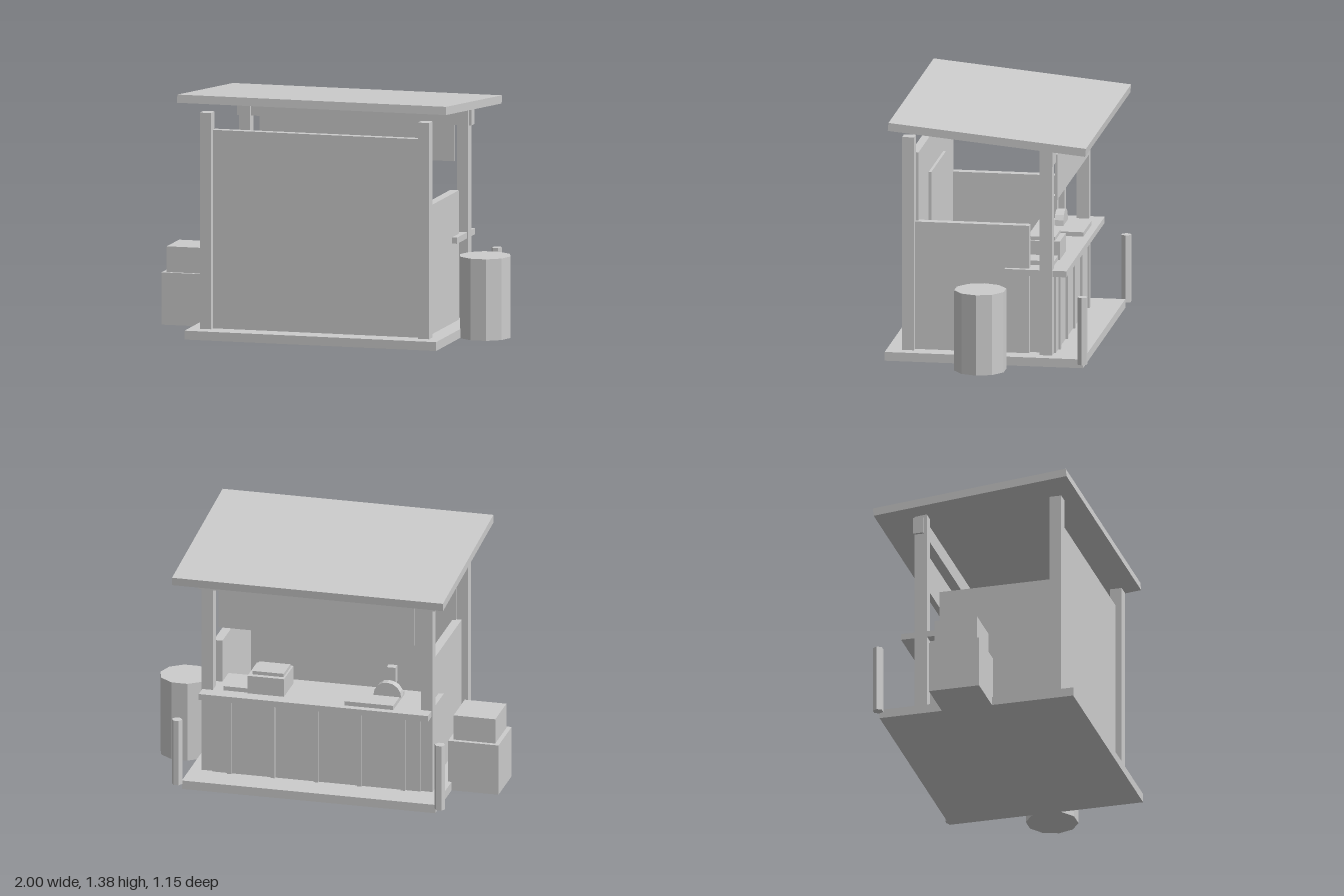
import * as THREE from 'three';

export function createModel() {
  const group = new THREE.Group();
  group.name = 'marketStall';
  const grey = new THREE.MeshStandardMaterial({ color: 0xcccccc });
  grey.name = 'plainGrey';

  const add = (name, geometry, x = 0, y = 0, z = 0) => {
    const mesh = new THREE.Mesh(geometry, grey);
    mesh.name = name;
    mesh.position.set(x, y, z);
    group.add(mesh);
    return mesh;
  };
  // Box given by its limits on each axis
  const box = (name, x0, x1, y0, y1, z0, z1) =>
    add(name, new THREE.BoxGeometry(x1 - x0, y1 - y0, z1 - z0),
      (x0 + x1) / 2, (y0 + y1) / 2, (z0 + z1) / 2);
  // Upright faceted cylinder with a corner pointing along +x
  const prism = (name, radius, sides, y0, y1, x, z) =>
    add(name, new THREE.CylinderGeometry(radius, radius, y1 - y0, sides, 1, false, Math.PI / 2).toNonIndexed(),
      x, (y0 + y1) / 2, z).geometry.computeVertexNormals();

  box('floor', -0.73, 0.73, 0, 0.05, -0.545, 0.575);

  // Sloping roof slab
  const roof = box('roof', -0.78, 0.78, 1.277, 1.323, -0.56, 0.56);
  roof.rotation.x = -0.0945;
  roof.position.set(0, 1.3, -0.01);

  // Walls, posts and bollards
  box('tallWall', -0.6, 0.6, 0.05, 1.17, 0.405, 0.45);
  box('wallBoard', -0.25, 0.25, 0.61, 0.975, 0.39, 0.405);
  for (const s of [-1, 1]) {
    const x = s * 0.6325;
    box('tallPost', x - 0.0325, x + 0.0325, 0.05, 1.27, 0.42, 0.487);
    box('counterPost', x - 0.0325, x + 0.0325, 0.05, 1.25, -0.36, -0.29);
    box('sideWall', s * 0.605 - 0.025, s * 0.605 + 0.025, 0.05, 0.78, -0.225, 0.42);
    prism('bollard', 0.03, 6, 0.03, 0.415, s * 0.757, -0.546);
  }

  // Header beam and hanging sign panel
  box('headerBeam', -0.68, 0.68, 1.135, 1.23, -0.365, -0.305);
  box('signPanel', -0.565, 0.565, 0.92, 1.18, -0.373, -0.36);

  // Counter with battens
  box('counterBody', -0.6, 0.6, 0.05, 0.5, -0.37, -0.14);
  box('counterTop', -0.66, 0.66, 0.5, 0.535, -0.44, -0.09);
  for (let i = -2; i <= 2; i++) {
    const x = i * 0.25;
    box('batten', x - 0.0125, x + 0.0125, 0.05, 0.49, -0.383, -0.37);
  }

  // Goods on the counter
  box('tray', 0.22, 0.54, 0.535, 0.56, -0.35, -0.15);
  box('goodsBox', 0.19, 0.4, 0.535, 0.64, -0.36, -0.15);
  box('goodsLid', 0.2, 0.38, 0.64, 0.66, -0.33, -0.18);
  box('cuttingBoard', -0.45, -0.17, 0.535, 0.56, -0.4, -0.15);
  const arc = new THREE.Shape();
  arc.absarc(0, 0, 0.08, 0, Math.PI, false);
  add('halfDisc', new THREE.ExtrudeGeometry(arc, { depth: 0.05, bevelEnabled: false, curveSegments: 4 }),
    -0.38, 0.56, -0.265);
  box('smallBlock', -0.415, -0.365, 0.62, 0.715, -0.22, -0.175);

  // Stacked crates and barrel beside the stall
  box('lowerCrate', -1, -0.71, 0, 0.295, -0.185, 0.105);
  box('upperCrate', -0.975, -0.735, 0.295, 0.44, -0.16, 0.085);
  prism('barrel', 0.147, 10, 0, 0.46, 0.853, 0.015);

  return group;
}
